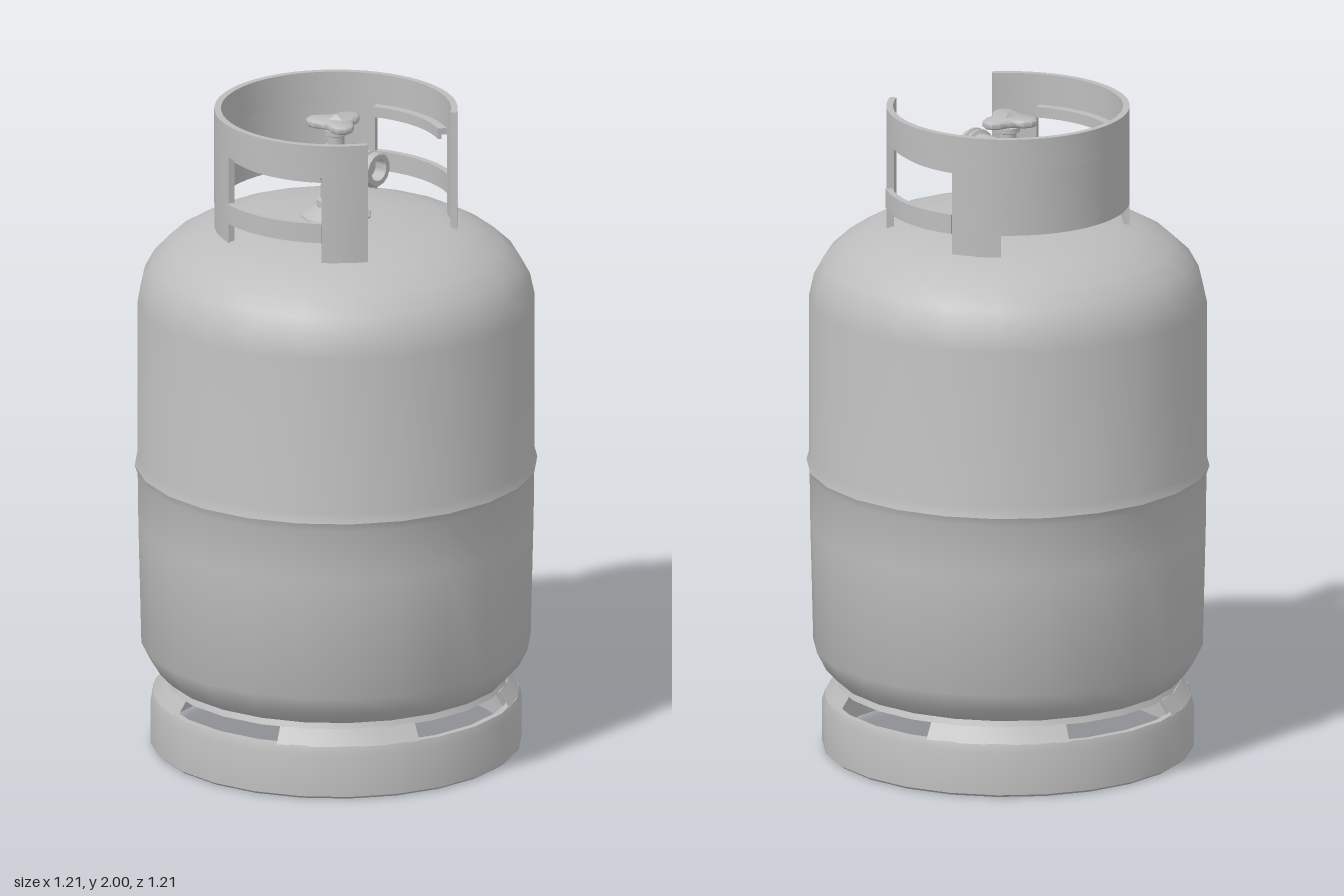
import * as THREE from 'three';
import { toCreasedNormals } from 'three/addons/utils/BufferGeometryUtils.js';

const steel = new THREE.MeshStandardMaterial({ color: 0xbdbdbd, side: THREE.DoubleSide });
steel.name = 'paintedSteel';
const rad = THREE.MathUtils.degToRad;

function add(parent, name, geometry, crease = 0.6) {
  const mesh = new THREE.Mesh(toCreasedNormals(geometry, crease), steel);
  mesh.name = name;
  parent.add(mesh);
  return mesh;
}

function lathe(points, segments = 24, start = 0, sweep = Math.PI * 2) {
  return new THREE.LatheGeometry(points.map(([r, y]) => new THREE.Vector2(r, y)), segments, start, sweep);
}

// Curved plate: angles in degrees from +x towards the back
function arcPlate(from, to, y0, y1, inner = 0.345, outer = 0.365) {
  const s = new THREE.Shape();
  s.absarc(0, 0, outer, rad(from), rad(to), false);
  s.absarc(0, 0, inner, rad(to), rad(from), true);
  const g = new THREE.ExtrudeGeometry(s, {
    depth: y1 - y0, bevelEnabled: false, curveSegments: Math.ceil((to - from) / 12),
  });
  return g.rotateX(-Math.PI / 2).translate(0, y0, 0);
}

function makeTank(root) {
  add(root, 'tank', lathe([
    [0, 0.14], [0.2, 0.15], [0.36, 0.175], [0.46, 0.205], [0.52, 0.23], [0.557, 0.27], [0.585, 0.325],
    [0.594, 0.7], [0.596, 0.86], [0.605, 0.885], [0.597, 0.915],
    [0.597, 1.4], [0.583, 1.465], [0.553, 1.52], [0.5, 1.57], [0.42, 1.615], [0.32, 1.645], [0.18, 1.66], [0, 1.667],
  ]));
}

function makeFoot(root) {
  const foot = new THREE.Group();
  foot.name = 'footRing';
  root.add(foot);
  add(foot, 'lowerBand', lathe([
    [0.535, 0.005], [0.548, 0], [0.558, 0.008], [0.558, 0.14], [0.55, 0.165], [0.53, 0.165], [0.535, 0.14], [0.535, 0.005],
  ]));
  add(foot, 'upperBand', lathe([[0.518, 0.208], [0.508, 0.23], [0.488, 0.23], [0.5, 0.208], [0.518, 0.208]]));
  // Sloped bridges between the four ventilation slots
  for (let i = 0; i < 4; i++) {
    add(foot, 'slotBridge', lathe(
      [[0.55, 0.163], [0.518, 0.21], [0.5, 0.21], [0.53, 0.163], [0.55, 0.163]],
      4, rad(22 + i * 90), rad(46)));
  }
}

function makeCollar(root) {
  const collar = new THREE.Group();
  collar.name = 'guardCollar';
  root.add(collar);
  add(collar, 'topBand', arcPlate(-56, 236, 1.9, 2));
  add(collar, 'backWall', arcPlate(21, 159, 1.7, 1.9));
  for (const side of [1, -1]) {
    const plate = (name, a, b, ...rest) =>
      add(collar, name, side > 0 ? arcPlate(a, b, ...rest) : arcPlate(180 - b, 180 - a, ...rest));
    plate('frontPost', -56, -34, 1.63, 1.9);
    plate('rearLeg', 21, 45, 1.63, 1.7);
    plate('lowerBar', -34, 21, 1.695, 1.755, 0.35, 0.37);
    // Hand grip folded inwards along the top of the opening
    plate('gripLip', -33, 20, 1.885, 1.905, 0.318, 0.35);
    plate('gripEdge', -33, 20, 1.872, 1.905, 0.318, 0.33);
  }
}

function makeValve(root) {
  const valve = new THREE.Group();
  valve.name = 'valve';
  root.add(valve);
  add(valve, 'valveStem', lathe([
    [0.108, 1.655], [0.106, 1.668], [0.06, 1.695], [0.058, 1.715], [0.048, 1.72], [0.046, 1.775], [0.035, 1.785],
    [0.035, 1.88], [0.026, 1.89], [0.026, 1.915], [0.036, 1.92], [0.036, 1.935], [0.02, 1.945], [0, 1.945],
  ], 14));
  // Threaded outlet facing forwards
  const outlet = add(valve, 'outlet', lathe([
    [0, -0.02], [0.04, -0.02], [0.045, 0.03], [0.045, 0.125], [0.056, 0.13], [0.056, 0.138], [0.048, 0.142],
    [0.048, 0.148], [0.056, 0.152], [0.056, 0.16], [0.05, 0.17], [0.034, 0.17], [0.032, 0.13], [0, 0.13],
  ], 14));
  outlet.rotation.x = Math.PI / 2;
  outlet.position.y = 1.84;
  // Relief stub facing backwards
  const stub = add(valve, 'reliefStub', new THREE.CylinderGeometry(0.027, 0.027, 0.1, 10).rotateX(Math.PI / 2));
  stub.position.set(0, 1.82, -0.05);
  const knob = add(valve, 'sideKnob', new THREE.CylinderGeometry(0.025, 0.025, 0.1, 8).rotateZ(Math.PI / 2));
  knob.position.set(0, 1.8, 0.02);

  // Three-lobed handwheel
  const pts = [];
  for (let i = 0; i < 24; i++) {
    const a = (i / 24) * Math.PI * 2;
    const r = 0.071 + 0.021 * Math.cos(3 * a);
    pts.push(new THREE.Vector2(r * Math.cos(a), r * Math.sin(a)));
  }
  const wheel = new THREE.ExtrudeGeometry(new THREE.Shape(pts), {
    depth: 0.014, bevelEnabled: true, bevelSize: 0.006, bevelThickness: 0.005, bevelSegments: 1, bevelOffset: -0.006,
  });
  add(valve, 'handwheel', wheel.rotateX(-Math.PI / 2).translate(0, 1.947, 0), 0.9);
  add(valve, 'wheelNut', new THREE.ConeGeometry(0.025, 0.014, 3).translate(0, 1.973, 0), 0.1);
}

export function createModel() {
  const root = new THREE.Group();
  root.name = 'gasCylinder';
  makeTank(root);
  makeFoot(root);
  makeCollar(root);
  makeValve(root);
  return root;
}
